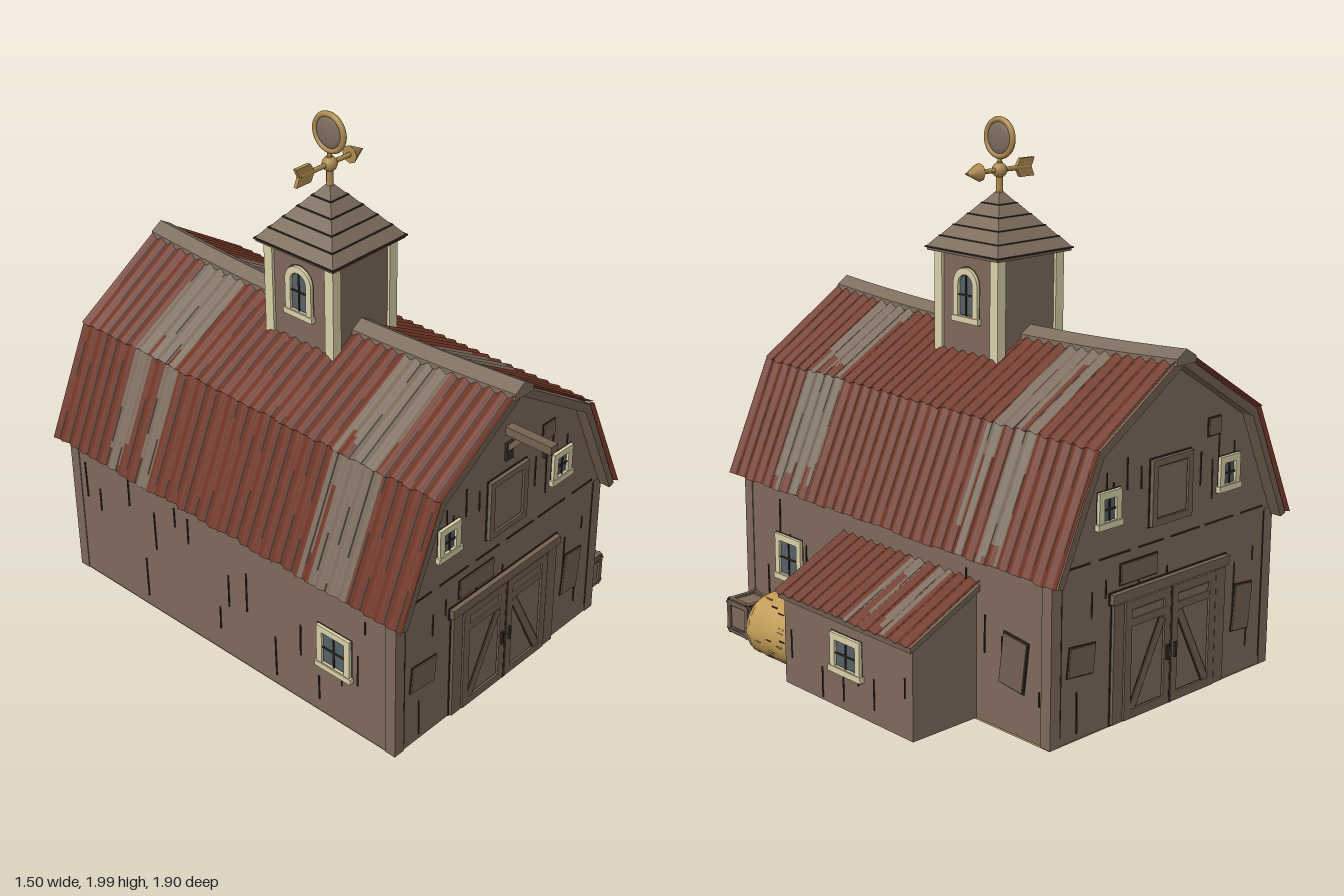
import * as THREE from 'three';

const mat = (name, color, side = THREE.FrontSide) => {
  const m = new THREE.MeshStandardMaterial({ color, side });
  m.name = name;
  return m;
};
const D = THREE.DoubleSide;
const WALL = mat('weatheredWood', 0x7d6959);
const TRIM = mat('trimWood', 0x746151);
const RED = mat('rustRedSheet', 0x713626, D);
const GRAY = mat('fadedSheet', 0x7c6d5d, D);
const CREAM = mat('creamPaint', 0xd9cfa9);
const GLASS = mat('slateGlass', 0x566266);
const HAY = mat('hay', 0xc29c58);
const GOLD = mat('brass', 0xae8a50);
const FLOOR = mat('earthFloor', 0xb49a66);
const DARK = mat('darkSeam', 0x352a25, D);

const CX = -0.145, Z0 = -0.95, Z1 = 0.815, WZ0 = -0.895, WZ1 = 0.76;
const hash = (a, b = 0) => {
  const s = Math.sin(a * 127.1 + b * 311.7 + 4.3) * 43758.5453;
  return s - Math.floor(s);
};
// the old ridge sags between the gables
const sag = (y, z) => {
  const u = (z + 0.067) / 0.883;
  return 0.035 * (1 - Math.min(1, u * u)) * THREE.MathUtils.clamp((y - 1.02) / 0.23, 0, 1);
};

function add(parent, name, geo, material, x = 0, y = 0, z = 0) {
  const m = new THREE.Mesh(geo, material);
  m.name = name;
  m.position.set(x, y, z);
  parent.add(m);
  return m;
}
function box(parent, name, material, w, h, d, x, y, z, rz = 0) {
  const m = add(parent, name, new THREE.BoxGeometry(w, h, d), material, x, y, z);
  m.rotation.z = rz;
  return m;
}
// board on a wall with a dark gap around it
function plank(parent, name, w, h, d, x, y, z, rz = 0) {
  box(parent, name + 'Gap', DARK, w + 0.01, h + 0.01, 0.006, x, y, 0, rz);
  box(parent, name, TRIM, w, h, d, x, y, z, rz);
}
function group(parent, name, x = 0, y = 0, z = 0, ry = 0) {
  const g = new THREE.Group();
  g.name = name;
  g.position.set(x, y, z);
  g.rotation.y = ry;
  parent.add(g);
  return g;
}
// prism along z that follows the sag
function prism(points, z0, z1, steps = 1) {
  const shape = new THREE.Shape(points.map(p => new THREE.Vector2(...p)));
  const g = new THREE.ExtrudeGeometry(shape, { depth: z1 - z0, steps, bevelEnabled: false });
  g.translate(0, 0, z0);
  const p = g.attributes.position;
  for (let i = 0; i < p.count; i++) p.setY(i, p.getY(i) - sag(p.getY(i), p.getZ(i)));
  g.computeVertexNormals();
  return g;
}
// corrugated sheet from upper edge a to lower edge b, with faded columns
function sheet(parent, name, a, b, z0, z1, waves, bands, seed) {
  const cols = waves * 8, rows = 20, pos = [], buckets = [[], [], []];
  const dx = b[0] - a[0], dy = b[1] - a[1], len = Math.hypot(dx, dy), s = Math.sign(dx);
  const nx = -dy * s / len, ny = Math.abs(dx) / len;
  for (let c = 0; c <= cols; c++) for (let r = 0; r <= rows; r++) {
    const z = z0 + (z1 - z0) * c / cols;
    const t = r / rows * (1 + (r === rows ? 0.02 * hash(Math.floor(c / 8), seed) : 0));
    const o = 0.01 + 0.006 * Math.cos(c / 8 * Math.PI * 2);
    const y = a[1] + dy * t + ny * o;
    pos.push(a[0] + dx * t + nx * o, y - sag(a[1] + dy * t, z), z);
  }
  for (let c = 0; c < cols; c++) for (let r = 0; r < rows; r++) {
    const z = z0 + (z1 - z0) * (c + 0.5) / cols, strip = Math.floor(c / 3), wv = Math.floor(c / 8);
    const faded = bands.some(q => z > q[0] && z < q[1]) && r < rows * (0.72 + 0.6 * hash(strip, seed)) &&
      (hash(strip, seed + 1) > 0.14 || r < rows * 0.25);
    const run = Math.floor((r + 7 * hash(wv, seed)) / 6);
    const seam = c % 8 === 3 && hash(wv * 3 + seed, run) < (faded ? 0.35 : 0.75);
    const i = c * (rows + 1) + r, j = i + rows + 1;
    const f = s > 0 ? [i, j, i + 1, j, j + 1, i + 1] : [i, i + 1, j, j, i + 1, j + 1];
    buckets[seam ? 2 : faded ? 1 : 0].push(...f);
  }
  const g = new THREE.BufferGeometry();
  g.setAttribute('position', new THREE.Float32BufferAttribute(pos, 3));
  g.setIndex(buckets.flat());
  let start = 0;
  buckets.forEach((k, n) => { g.addGroup(start, k.length, n); start += k.length; });
  g.computeVertexNormals();
  add(parent, name, g, [RED, GRAY, DARK]);
}
// framed window facing +z
function windowUnit(parent, name, w, h, x, y, arched = false) {
  const g = group(parent, name, x, y, 0);
  const outline = (P, hw, hh) => {
    const p = new P();
    p.moveTo(-hw, -hh).lineTo(hw, -hh);
    if (arched) { p.lineTo(hw, hh - hw); p.absarc(0, hh - hw, hw, 0, Math.PI, false); }
    else p.lineTo(hw, hh).lineTo(-hw, hh);
    p.closePath();
    return p;
  };
  const plate = (o, z, n, m) => add(g, n, new THREE.ShapeGeometry(outline(THREE.Shape, w / 2 + o, h / 2 + o)), m, 0, 0, z);
  const f = 0.025, frame = outline(THREE.Shape, w / 2, h / 2);
  frame.holes.push(outline(THREE.Path, w / 2 - f, h / 2 - f));
  add(g, 'windowFrame', new THREE.ExtrudeGeometry(frame, { depth: 0.014, bevelEnabled: false }), CREAM);
  plate(0.005, 0.002, 'windowGap', DARK);
  plate(-f, 0.004, 'windowRebate', DARK);
  plate(-f - 0.004, 0.006, 'windowGlass', GLASS);
  box(g, 'muntin', DARK, 0.006, h - 2 * f, 0.004, 0, 0, 0.008);
  box(g, 'muntin', DARK, w - 2 * f, 0.006, 0.004, 0, 0, 0.008);
  box(g, 'windowSill', CREAM, w + 0.014, 0.022, 0.018, 0, -h / 2 + 0.011, 0.009);
}
// raised square frame over a panel
function panel(parent, name, w, h, x, y, rz = 0, f = 0.018) {
  const g = group(parent, name, x, y, 0);
  g.rotation.z = rz;
  box(g, 'panelGap', DARK, w + 0.01, h + 0.01, 0.006, 0, 0, 0);
  box(g, 'panelReveal', DARK, w - 2 * f, h - 2 * f, 0.014, 0, 0, 0.002);
  box(g, 'panelBoard', WALL, w - 2 * f - 0.01, h - 2 * f - 0.01, 0.014, 0, 0, 0.004);
  for (const s of [-1, 1]) {
    box(g, 'panelRail', TRIM, w, f, 0.02, 0, s * (h - f) / 2, 0.007);
    box(g, 'panelStile', TRIM, f, h - 2 * f, 0.02, s * (w - f) / 2, 0, 0.007);
  }
}
// scattered upright cracks between the boards
function cracks(parent, n, x0, x1, y0, y1, seed) {
  for (let i = 0; i < n; i++) {
    const h = 0.05 + 0.14 * hash(i, seed);
    box(parent, 'boardSeam', DARK, 0.005, h, 0.004, x0 + (x1 - x0) * (i + hash(i, seed + 1)) / n,
      y0 + h / 2 + (y1 - y0 - h) * hash(i, seed + 2), 0.001, 0.04 * (hash(i, seed + 3) - 0.5));
  }
}
// doors, loft hatch, windows and boards of one gable
function gableEnd(parent, name, z, ry) {
  const g = group(parent, name, CX, 0, z, ry);
  for (let i = 0; i < 6; i++)
    box(g, 'beltSeam', DARK, 0.11 + 0.05 * hash(i, 3), 0.006, 0.004, -0.45 + i * 0.18, 0.632, 0.001);
  plank(g, 'doorHeader', 0.6, 0.036, 0.03, 0.01, 0.48, 0.006);
  for (const s of [-1, 1]) {
    plank(g, 'doorPost', 0.05, 0.43, 0.018, 0.01 + s * 0.265, 0.24, 0.005);
    const leaf = group(g, 'barnDoor', 0.01 + s * 0.119, 0.24, 0);
    panel(leaf, 'doorLeaf', 0.232, 0.43, 0, 0, 0, 0.032);
    box(leaf, 'doorRail', TRIM, 0.17, 0.028, 0.018, 0, 0.135, 0.007);
    box(leaf, 'doorBraceGap', DARK, 0.04, 0.325, 0.012, 0, -0.035, 0.0062, s * 0.47);
    box(leaf, 'doorBrace', TRIM, 0.03, 0.335, 0.016, 0, -0.035, 0.0075, s * 0.47);
    box(leaf, 'doorHandle', DARK, 0.012, 0.055, 0.012, -s * 0.098, -0.02, 0.018);
    box(leaf, 'doorGap', DARK, 0.006, 0.43, 0.004, -s * 0.116, 0, 0.016);
    windowUnit(g, 'gableWindow', 0.108, 0.128, s * 0.308, 0.802);
    box(g, 'cornerSeam', DARK, 0.005, 0.56, 0.004, s * 0.522, 0.33, 0.001);
  }
  panel(g, 'loftHatch', 0.205, 0.235, 0, 0.81, 0, 0.024);
  plank(g, 'patchBoard', 0.12, 0.1, 0.01, -0.425, 0.3, 0.003, -0.1);
  plank(g, 'patchBoard', 0.09, 0.17, 0.01, 0.41, 0.275, 0.003, -0.1);
  plank(g, 'patchBoard', 0.06, 0.06, 0.01, 0.225, 0.985, 0.003);
  plank(g, 'patchBoard', 0.18, 0.07, 0.01, -0.15, 0.555, 0.003);
  cracks(g, 18, -0.5, 0.5, 0.03, 0.6, 5);
  cracks(g, 12, -0.36, 0.36, 0.65, 0.98, 9);
  return g;
}

export function createModel() {
  const root = new THREE.Group();
  root.name = 'barn';

  // body and floor
  const mirror = pts => [...pts, ...pts.filter(p => p[0] > 0).reverse().map(p => [-p[0], p[1]])];
  const inner = [[0, 1.25], [0.385, 1.01], [0.565, 0.62]];
  add(root, 'barnWalls', prism(mirror([...inner, [0.565, 0.02]]).reverse(), WZ0, WZ1, 14), WALL, CX);
  box(root, 'barnFloor', FLOOR, 1.12, 0.01, 1.64, CX, 0.016, -0.067);
  for (const x of [-1, 1]) for (const z of [WZ0 + 0.02, WZ1 - 0.02])
    box(root, 'cornerPost', WALL, 0.045, 0.6, 0.045, CX + x * 0.546, 0.318, z);

  // roof deck and corrugated sheets
  const deck = [[0, 1.28], [0.4, 1.025], [0.588, 0.6], [0.562, 0.592], [0.38, 1.0]];
  const ring = [...deck, [0, 1.243], ...deck.slice(1).reverse().map(p => [-p[0], p[1]])];
  add(root, 'roofDeck', prism(ring.reverse(), Z0 + 0.008, Z1 - 0.008, 14), TRIM, CX);
  const upper = [[-0.66, -0.45], [0.34, 0.55]];
  const lower = [[-0.66, -0.57], [-0.5, -0.43], [0.34, 0.56]];
  for (const s of [-1, 1]) {
    const roof = group(root, s > 0 ? 'leftRoof' : 'rightRoof', CX);
    sheet(roof, 'upperRoofSheet', [0, 1.28], [s * 0.405, 1.023], Z0, Z1, 33, upper, 2 + s);
    sheet(roof, 'lowerRoofSheet', [s * 0.397, 1.025], [s * 0.588, 0.602], Z0, Z1, 33, lower, 7 + s);
  }
  add(root, 'ridgeCap', prism([[-0.05, 1.25], [0.05, 1.25], [0.048, 1.274], [0, 1.303], [-0.048, 1.274]], Z0 - 0.003, Z1 + 0.003, 14), GRAY, CX);

  // gables, with the hoist on the front one
  const front = gableEnd(root, 'frontGable', WZ1, 0);
  gableEnd(root, 'backGable', WZ0, Math.PI);
  box(front, 'hoistBeam', TRIM, 0.036, 0.032, 0.24, 0, 1.095, 0.07);
  const strut = box(front, 'hoistStrut', TRIM, 0.024, 0.1, 0.02, 0, 1.055, 0.035);
  strut.rotation.x = 0.75;
  box(front, 'hoistHook', DARK, 0.014, 0.035, 0.014, 0, 1.065, 0.155);
  box(front, 'hoistPlate', DARK, 0.036, 0.07, 0.012, 0, 1.01, 0.004);

  // side walls
  const left = group(root, 'leftSide', CX + 0.5685, 0, 0, Math.PI / 2);
  const right = group(root, 'rightSide', CX - 0.5685, 0, 0, -Math.PI / 2);
  windowUnit(left, 'sideWindow', 0.155, 0.18, -0.485, 0.33);
  windowUnit(right, 'sideWindow', 0.155, 0.18, 0.485, 0.33);
  plank(left, 'patchBoard', 0.11, 0.18, 0.01, 0.725, 0.28, 0.003, -0.12);
  cracks(left, 16, -0.72, 0.86, 0.03, 0.6, 21);
  cracks(right, 16, -0.86, 0.72, 0.03, 0.6, 31);

  // lean-to
  const shed = group(root, 'leanTo');
  add(shed, 'leanToWalls', prism([[0.4, 0.02], [0.71, 0.02], [0.71, 0.365], [0.4, 0.505]], -0.54, 0.15), WALL);
  add(shed, 'leanToDeck', prism([[0.41, 0.49], [0.73, 0.345], [0.732, 0.365], [0.41, 0.513]], -0.555, 0.16), TRIM);
  sheet(shed, 'leanToSheet', [0.41, 0.513], [0.732, 0.362], -0.56, 0.165, 14, [[-0.42, -0.36], [-0.3, -0.21]], 14);
  const shedSide = group(shed, 'leanToSide', 0.71, 0, 0, Math.PI / 2);
  windowUnit(shedSide, 'leanToWindow', 0.16, 0.145, 0.2, 0.225);
  cracks(shedSide, 6, -0.13, 0.52, 0.03, 0.34, 41);
  cracks(group(shed, 'leanToFront', 0, 0, 0.15), 4, 0.45, 0.7, 0.03, 0.36, 45);

  // cupola
  const cupola = group(root, 'cupola', -0.135, 0, -0.065);
  box(cupola, 'cupolaWalls', WALL, 0.31, 0.43, 0.31, 0, 1.315, 0);
  for (const x of [-1, 1]) {
    for (const z of [-1, 1]) box(cupola, 'cupolaPost', CREAM, 0.04, 0.38, 0.04, x * 0.146, 1.34, z * 0.146);
    windowUnit(group(cupola, 'cupolaSide', x * 0.155, 0, 0, x * Math.PI / 2), 'archedWindow', 0.125, 0.2, 0, 1.375, true);
  }
  box(cupola, 'cupolaEave', TRIM, 0.37, 0.016, 0.37, 0, 1.528, 0);
  for (let i = 0; i < 5; i++) {
    const h = 0.19 - i * 0.036, y = 1.532 + i * 0.04;
    const course = new THREE.CylinderGeometry((h - 0.038) * Math.SQRT2 + 0.002, h * Math.SQRT2, 0.044, 4, 1).toNonIndexed();
    course.computeVertexNormals();
    add(cupola, 'shingleCourse', course.rotateY(Math.PI / 4), GRAY, 0, y + 0.02, 0);
    box(cupola, 'shingleGap', DARK, 2 * h + 0.003, 0.005, 2 * h + 0.003, 0, y, 0);
  }

  // weather vane
  const vane = group(cupola, 'weatherVane', 0, 1.81, 0);
  add(vane, 'vaneRod', new THREE.CylinderGeometry(0.011, 0.014, 0.14, 10), GOLD, 0, -0.04, 0);
  add(vane, 'vaneBall', new THREE.SphereGeometry(0.028, 16, 12), GOLD);
  add(vane, 'arrowShaft', new THREE.CylinderGeometry(0.009, 0.009, 0.27, 8).rotateZ(Math.PI / 2), GOLD, -0.01);
  add(vane, 'arrowHead', new THREE.ConeGeometry(0.034, 0.07, 8).rotateZ(-Math.PI / 2), GOLD, 0.135);
  const tail = [[-0.155, 0], [-0.17, -0.034], [-0.1, -0.034], [-0.08, 0], [-0.1, 0.034], [-0.17, 0.034]];
  add(vane, 'arrowTail', prism(tail, -0.007, 0.007), GOLD);
  add(vane, 'discStem', new THREE.CylinderGeometry(0.008, 0.008, 0.04, 8), GOLD, 0, 0.035, 0);
  add(vane, 'discRim', new THREE.TorusGeometry(0.066, 0.011, 8, 32).rotateY(Math.PI / 2), GOLD, 0, 0.115, 0);
  add(vane, 'discFace', new THREE.SphereGeometry(0.06, 24, 12).scale(0.25, 1, 1), GRAY, 0, 0.115, 0);

  // hay bale with loose straw
  const bale = group(root, 'hayBale', 0.57, 0.133, 0.285);
  const roll = new THREE.CylinderGeometry(0.117, 0.117, 0.26, 28, 8).rotateX(Math.PI / 2);
  const p = roll.attributes.position;
  for (let i = 0; i < p.count; i++) {
    const a = Math.round(Math.atan2(p.getY(i), p.getX(i)) * 28 / (2 * Math.PI) + 28) % 28;
    const k = 0.97 + 0.06 * hash(a, Math.round(p.getZ(i) * 100));
    p.setXY(i, p.getX(i) * k, p.getY(i) * k);
  }
  roll.computeVertexNormals();
  add(bale, 'hayRoll', roll, HAY);
  for (const z of [-0.13, 0.13]) for (const r of [0.03, 0.06, 0.088, 0.11]) {
    add(bale, 'hayCoil', new THREE.TorusGeometry(r, 0.009, 6, 24), HAY, 0, 0, z);
    add(bale, 'coilGap', new THREE.TorusGeometry(r - 0.013, 0.003, 4, 24, 4), DARK, 0, 0, z * 1.02);
  }
  for (let i = 0; i < 36; i++) {
    const a = i * 2.4, r = 0.1165;
    box(bale, 'straw', i % 3 ? HAY : DARK, 0.008, 0.004, 0.03, Math.cos(a) * r, Math.sin(a) * r, 0.22 * (hash(i, 8) - 0.5), a);
  }

  // crate
  const crate = group(root, 'crate', 0.505, 0.085, 0.632);
  for (let i = 0; i < 4; i++) {
    const side = group(crate, 'crateSide', 0, 0, 0, i * Math.PI / 2);
    panel(group(side, 'crateFace', 0, 0, 0.052), 'crateFrame', 0.128, 0.128, 0, 0);
  }
  for (const s of [-1, 1]) {
    const lid = group(crate, s > 0 ? 'crateTop' : 'crateBottom', 0, s * 0.052, 0);
    lid.rotation.x = -s * Math.PI / 2;
    panel(lid, 'crateLid', 0.128, 0.128, 0, 0);
  }
  return root;
}
